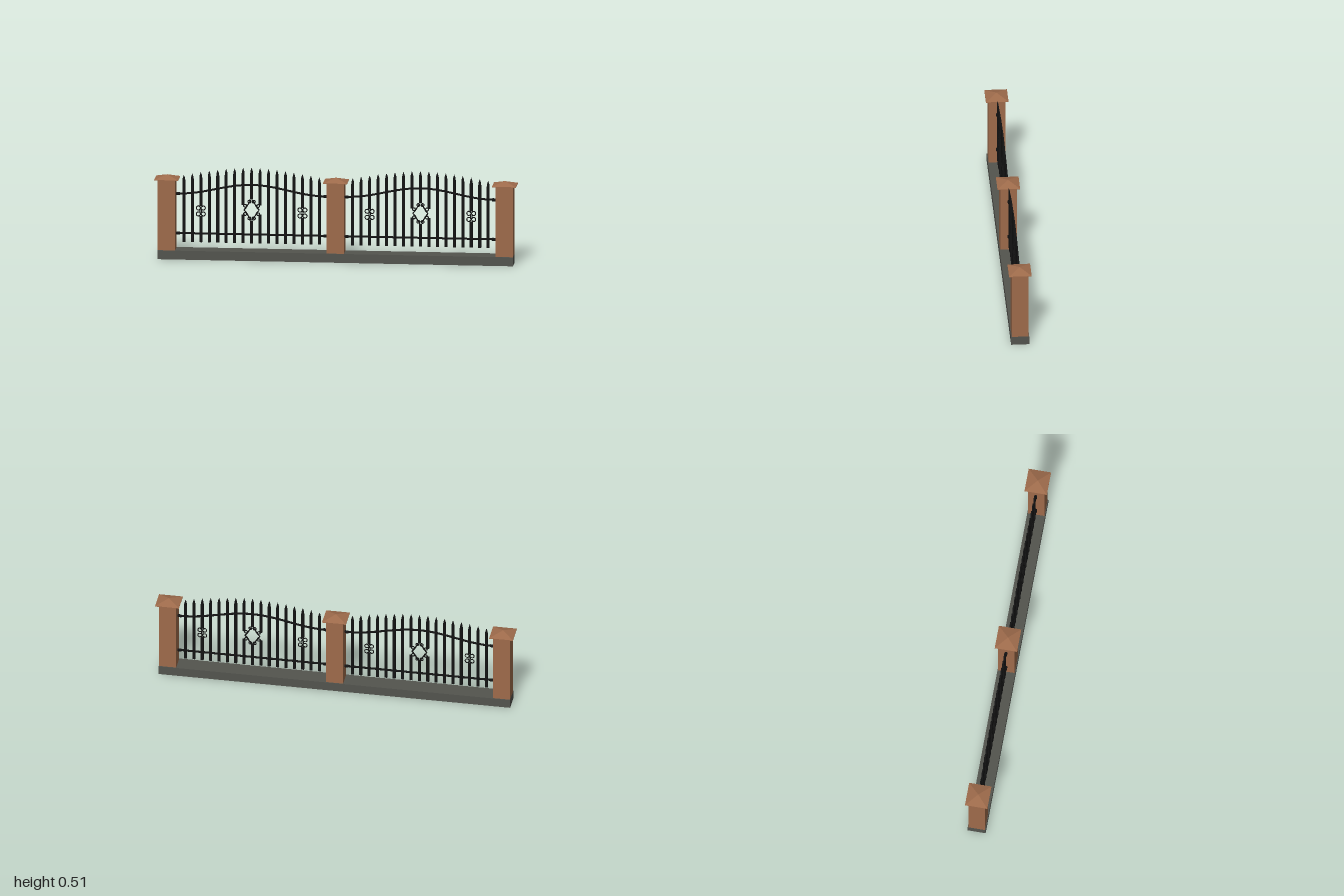
import * as THREE from 'three';

const brick = new THREE.MeshStandardMaterial({ name: 'brown brick', color: 0x9e6b4b });
const stone = new THREE.MeshStandardMaterial({ name: 'grey stone', color: 0x53544e, side: THREE.DoubleSide });
const iron = new THREE.MeshStandardMaterial({ name: 'black iron', color: 0x131313 });

const PANEL_X = 0.4665, STEP = 0.0468, HALF_SPAN = 0.421, IRON_Z = -0.002;

function add(parent, name, geometry, material, x = 0, y = 0, z = 0) {
  const mesh = new THREE.Mesh(geometry, material);
  mesh.name = name;
  mesh.position.set(x, y, z);
  parent.add(mesh);
  return mesh;
}

const box = (w, h, d) => new THREE.BoxGeometry(w, h, d);

// Hollow plinth, open underneath, with a divider in the middle
function buildBase() {
  const g = new THREE.Group();
  g.name = 'base';
  const L = 1.964, H = 0.05, W = 0.1;
  add(g, 'baseTop', new THREE.PlaneGeometry(L, W), stone, 0, H, 0).rotation.x = -Math.PI / 2;
  add(g, 'baseFront', new THREE.PlaneGeometry(L, H), stone, 0, H / 2, W / 2);
  add(g, 'baseBack', new THREE.PlaneGeometry(L, H), stone, 0, H / 2, -W / 2).rotation.y = Math.PI;
  for (const s of [-1, 0, 1]) {
    const name = s ? 'baseEnd' : 'baseDivider';
    add(g, name, new THREE.PlaneGeometry(W, H), stone, s * L / 2, H / 2, 0).rotation.y = (s || 1) * Math.PI / 2;
  }
  return g;
}

// Square pillar with a low pyramid cap
function buildPillar(x) {
  const g = new THREE.Group();
  g.name = 'pillar';
  g.position.x = x;
  add(g, 'pillarShaft', box(0.097, 0.396, 0.092), brick, 0, 0.248, 0);
  add(g, 'capSlab', box(0.133, 0.003, 0.125), brick, 0, 0.4455, 0);
  const roof = new THREE.ConeGeometry(Math.SQRT1_2, 0.021, 4).rotateY(Math.PI / 4).scale(0.133, 1, 0.125).toNonIndexed();
  roof.computeVertexNormals();
  add(g, 'capRoof', roof, brick, 0, 0.4575, 0);
  return g;
}

// Flat bar whose back curves forward to a pointed tip
function spikeGeometry(y0, y1) {
  const w = 0.008, d = 0.009, tip = 0.036, s = y1 - tip;
  const shape = new THREE.Shape();
  shape.moveTo(-w, y0);
  shape.lineTo(w, y0);
  shape.lineTo(w, s);
  shape.lineTo(w * 0.75, s + tip * 0.45);
  shape.lineTo(0, y1);
  shape.lineTo(-w * 0.75, s + tip * 0.45);
  shape.lineTo(-w, s);
  const geo = new THREE.ExtrudeGeometry(shape, { depth: d, bevelEnabled: false });
  const p = geo.attributes.position;
  for (let i = 0; i < p.count; i++) {
    const t = Math.max(0, (p.getY(i) - s) / tip);
    const back = -0.0065 + 0.0085 * t * t;
    p.setZ(i, p.getZ(i) > d / 2 ? 0.0025 : back);
  }
  geo.computeVertexNormals();
  return geo;
}

function rod(points, r, segments = 24) {
  const curve = new THREE.CatmullRomCurve3(points.map(([x, y]) => new THREE.Vector3(x, y, 0)));
  return new THREE.TubeGeometry(curve, segments, r, 6);
}

// Back-to-back scrolls set into one picket
function buildScroll(x, y) {
  const g = new THREE.Group();
  g.name = 'scrollOrnament';
  g.position.set(x, y, IRON_Z);
  for (const sx of [-1, 1]) {
    for (const sy of [-1, 1]) {
      add(g, 'scrollRing', new THREE.TorusGeometry(0.0115, 0.0028, 6, 16), iron, sx * 0.0135, sy * 0.017, 0);
    }
    add(g, 'scrollStem', rod([[sx * 0.016, 0.03], [sx * 0.003, 0.02], [sx * 0.004, 0], [sx * 0.003, -0.02], [sx * 0.016, -0.03]], 0.0028), iron);
  }
  return g;
}

// Diamond of curved rods with curled corners
function buildDiamond(x, y) {
  const g = new THREE.Group();
  g.name = 'diamondOrnament';
  g.position.set(x, y, IRON_Z);
  const curl = new THREE.TorusGeometry(0.008, 0.0032, 6, 14);
  for (const sx of [-1, 1]) {
    for (const sy of [-1, 1]) {
      add(g, 'diamondSide', rod([[sx * 0.003, sy * 0.056], [sx * 0.017, sy * 0.036], [sx * 0.027, sy * 0.018], [sx * 0.042, 0]], 0.0036), iron);
      add(g, 'topCurl', curl, iron, sx * 0.012, sy * 0.047, 0);
      add(g, 'sideCurl', curl, iron, sx * 0.036, sy * 0.023, 0);
    }
  }
  return g;
}

// One railing panel between two pillars
function buildPanel(x) {
  const g = new THREE.Group();
  g.name = 'railingPanel';
  g.position.x = x;

  // Pickets, with gaps where the ornaments sit
  const gaps = { 0: [0.217, 0.335], 1: [0.25, 0.303], 6: [0.236, 0.294] };
  for (let i = -8; i <= 8; i++) {
    const top = 0.515 - 0.047 * Math.pow(Math.abs(i) / 8, 1.6);
    const gap = gaps[Math.abs(i)];
    add(g, 'picket', spikeGeometry(gap ? gap[1] : 0.09, top), iron, i * STEP);
    if (gap) add(g, 'lowerPicket', box(0.016, gap[0] - 0.09, 0.009), iron, i * STEP, (gap[0] + 0.09) / 2, IRON_Z);
  }

  // Rails
  const arch = [];
  for (let i = -12; i <= 12; i++) {
    const u = Math.min(1, Math.abs(i) / 11.5);
    arch.push([i / 12 * HALF_SPAN, 0.417 - 0.056 * (1 - Math.cos(Math.PI * u)) / 2]);
  }
  add(g, 'archedRail', rod(arch, 0.0058, 48), iron, 0, 0, IRON_Z);
  add(g, 'lowerRail', rod([[-HALF_SPAN, 0.139], [HALF_SPAN, 0.139]], 0.0058, 1), iron, 0, 0, IRON_Z);

  // Fixings at the pillars
  for (const s of [-1, 1]) {
    for (const y of [0.139, 0.361]) {
      const fixing = new THREE.CylinderGeometry(0.0085, 0.0085, 0.018, 10).rotateZ(Math.PI / 2);
      add(g, 'railFixing', fixing, iron, s * 0.406, y, IRON_Z);
    }
    g.add(buildScroll(s * 6 * STEP, 0.265));
  }
  g.add(buildDiamond(0, 0.276));
  return g;
}

export function createModel() {
  const model = new THREE.Group();
  model.name = 'fence';
  model.add(buildBase());
  for (const x of [-0.9335, 0, 0.9335]) model.add(buildPillar(x));
  for (const s of [-1, 1]) model.add(buildPanel(s * PANEL_X));
  return model;
}
